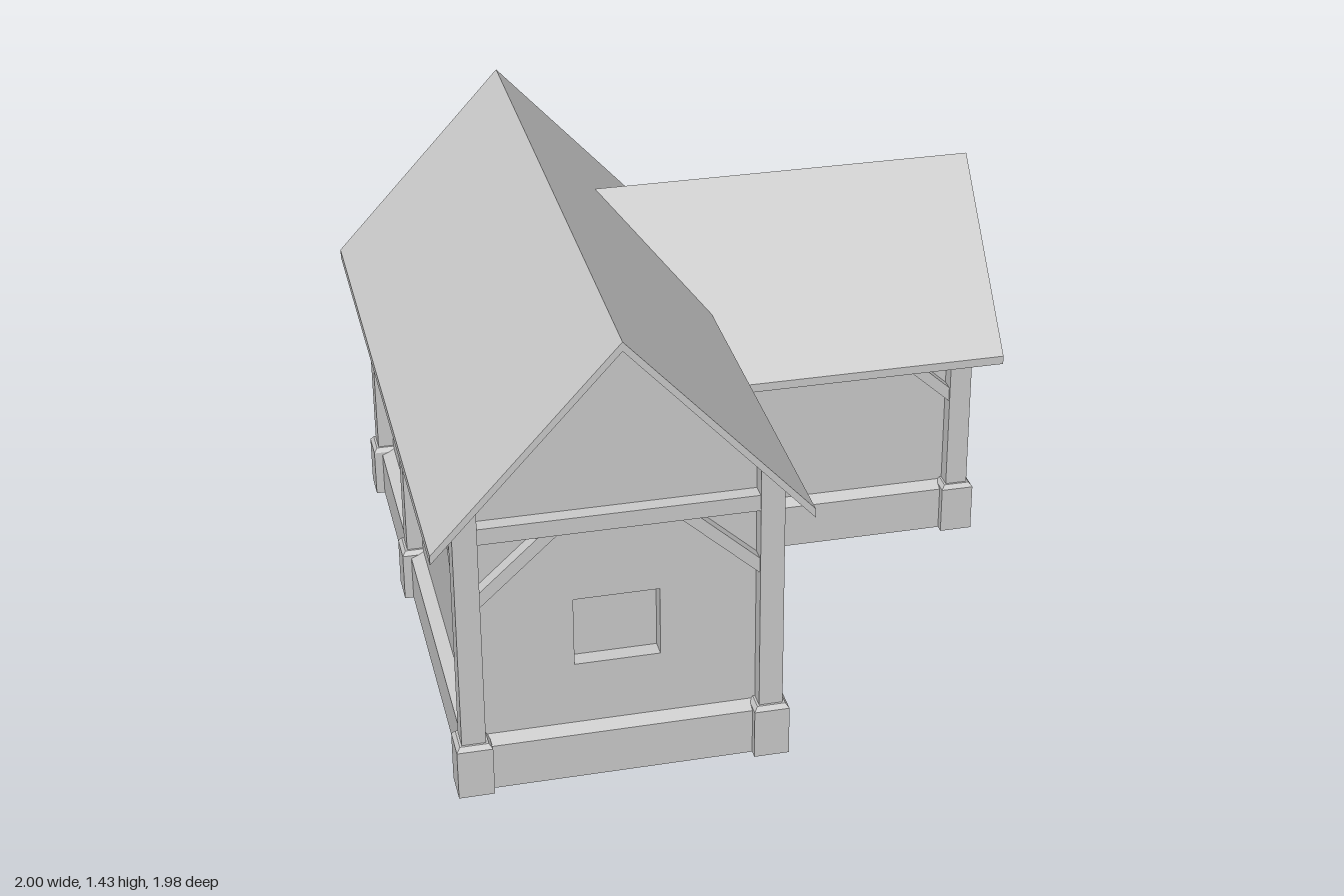
import * as THREE from 'three';

const MAT = new THREE.MeshStandardMaterial({ color: 0xcccccc, flatShading: true, side: THREE.DoubleSide });
const POST = 0.07, HALF = POST / 2;

// Post centre lines
const XL = -0.895, XR = -0.025, XE = 0.89;
const ZF = 0.885, ZM = -0.205, ZB = -0.885;

// Roof undersides
const MAIN = { mid: -0.46, apex: 1.405, slope: 1.085 };
const WING = { mid: -0.54, apex: 1.155, slope: 1.13 };
const under = (roof, v) => roof.apex - roof.slope * Math.abs(v - roof.mid);
const ROOF_T = 0.028;

function add(parent, name, geometry, x = 0, y = 0, z = 0) {
  const m = new THREE.Mesh(geometry, MAT);
  m.name = name;
  m.position.set(x, y, z);
  parent.add(m);
  return m;
}

function box(parent, name, w, y0, y1, d, x = 0, z = 0) {
  return add(parent, name, new THREE.BoxGeometry(w, y1 - y0, d), x, (y0 + y1) / 2, z);
}

const polygon = (pts) => new THREE.Shape(pts.map(([x, y]) => new THREE.Vector2(x, y)));
const rect = (x0, y0, x1, y1) => [[x0, y0], [x1, y0], [x1, y1], [x0, y1]];
const extrude = (shape, depth) => new THREE.ExtrudeGeometry(shape, { depth, bevelEnabled: false });

// Move each vertex by a rule, then rebuild the normals
function reshape(geometry, rule) {
  const p = geometry.attributes.position;
  const v = new THREE.Vector3();
  for (let i = 0; i < p.count; i++) {
    rule(v.fromBufferAttribute(p, i));
    p.setXYZ(i, v.x, v.y, v.z);
  }
  geometry.computeVertexNormals();
  return geometry;
}

// Post cut to the roof slope, on a stone foot with a chamfered top
function post(parent, name, x, z, topAt) {
  const g = new THREE.Group();
  g.name = name;
  parent.add(g);
  const shaft = new THREE.BoxGeometry(POST, 1, POST);
  shaft.translate(x, 0, z);
  reshape(shaft, (v) => { v.y = v.y > 0 ? topAt(v.x, v.z) : 0.1; });
  add(g, 'postShaft', shaft);
  box(g, 'postFoot', 0.104, 0, 0.155, 0.104, x, z);
  const cap = new THREE.BoxGeometry(0.104, 0.014, 0.104);
  reshape(cap, (v) => { if (v.y > 0) { v.x *= 0.8; v.z *= 0.8; } });
  add(g, 'postFootChamfer', cap, x, 0.162, z);
}

// One wall bay between two posts; local x runs along it, +z faces outwards
function bay(parent, name, o) {
  const g = new THREE.Group();
  g.name = name;
  g.position.set(o.x, 0, o.z);
  g.rotation.y = o.turn;
  parent.add(g);
  const h = o.length / 2, clear = h - HALF, beam = o.beam;

  // Panel, with a peak in the gable ends
  const y0 = o.panelBase ?? 0.02;
  const pts = o.roof
    ? [[-h, y0], [h, y0], [h, o.roof.apex - o.roof.slope * h], [0, o.roof.apex], [-h, o.roof.apex - o.roof.slope * h]]
    : rect(-h, y0, h, beam + 0.03);
  const panel = polygon(pts);
  if (o.window) {
    const [u, w] = o.window;
    const opening = rect(u - w / 2, 0.36, u + w / 2, 0.577);
    panel.holes.push(polygon(opening));
    const frame = polygon(rect(u - w / 2 - 0.008, 0.352, u + w / 2 + 0.008, 0.585));
    frame.holes.push(polygon(opening));
    add(g, 'windowReveal', extrude(frame, 0.045), 0, 0, -0.07);
    box(g, 'windowPane', w + 0.016, 0.352, 0.585, 0.008, u, -0.07);
  }
  add(g, 'wallPanel', extrude(panel, 0.02), 0, 0, -0.035);

  // Tie beam
  box(g, 'beam', clear * 2, beam, beam + 0.05, 0.065, 0, -0.0025);
  if (o.open) return;

  // Plinth with a sloping top
  const profile = polygon([[-0.035, 0], [0.025, 0], [0.025, 0.145], [-0.015, 0.162], [-0.035, 0.162]]);
  const plinth = extrude(profile, clear * 2);
  plinth.rotateY(-Math.PI / 2);
  add(g, 'plinth', plinth, clear, 0, 0);

  // Diagonal braces
  for (const s of [-1, 1]) {
    const c = s * clear;
    const brace = polygon([
      [c, beam - 0.205], [c - s * 0.225, beam], [c - s * 0.172, beam], [c, beam - 0.157],
    ]);
    add(g, 'brace', extrude(brace, 0.043), 0, 0, -0.017);
  }
}

// Roof slab drawn in plan as [x, z], then sheared up to its slope
function slab(parent, name, plan, heightAt) {
  const geo = extrude(polygon(plan.map(([x, z]) => [x, -z])), ROOF_T);
  geo.rotateX(-Math.PI / 2);
  add(parent, name, reshape(geo, (v) => { v.y += heightAt(v.x, v.z); }));
}

export function createModel() {
  const model = new THREE.Group();
  model.name = 'timberFramedHouse';

  // Posts
  const mainTop = (x) => under(MAIN, x);
  const wingTop = (x, z) => under(WING, z);
  for (const z of [ZF, ZM, ZB]) {
    post(model, 'mainPostRight', XL, z, mainTop);
    post(model, 'mainPostLeft', XR, z, mainTop);
  }
  for (const z of [ZM, ZB]) post(model, 'wingPost', XE, z, wingTop);

  // Main house bays
  const mx = (XL + XR) / 2, mw = XR - XL, q = Math.PI / 2;
  const zFront = (ZF + ZM) / 2, zBack = (ZM + ZB) / 2;
  const lFront = ZF - ZM, lBack = ZM - ZB;
  bay(model, 'frontGable', { x: mx, z: ZF, turn: 0, length: mw, beam: 0.82, roof: MAIN, window: [-0.005, 0.25] });
  bay(model, 'backGable', { x: mx, z: ZB, turn: Math.PI, length: mw, beam: 0.82, roof: MAIN });
  bay(model, 'sideWallWithWindow', { x: XR, z: zFront, turn: q, length: lFront, beam: 0.82, window: [0.042, 0.375] });
  bay(model, 'longSideFront', { x: XL, z: zFront, turn: -q, length: lFront, beam: 0.82 });
  bay(model, 'longSideBack', { x: XL, z: zBack, turn: -q, length: lBack, beam: 0.82 });

  // Plain partition between house and wing
  box(model, 'partition', 0.04, 0, 0.88, lBack, XR, zBack);

  // Wing bays; the outer end is open below its beam
  const wx = (XR + XE) / 2, wl = XE - XR;
  bay(model, 'wingFront', { x: wx, z: ZM, turn: 0, length: wl, beam: 0.68 });
  bay(model, 'wingBack', { x: wx, z: ZB, turn: Math.PI, length: wl, beam: 0.68 });
  bay(model, 'wingOpenGable', { x: XE, z: zBack, turn: q, length: lBack, beam: 0.68, roof: WING, panelBase: 0.69, open: true });
  box(model, 'wingCeiling', wl, 0.685, 0.7, lBack, wx, zBack);

  // Main roof
  for (const edge of [-1, 0.08]) {
    slab(model, 'mainRoofSlope', rect(edge, -0.99, MAIN.mid, 0.985), (x) => under(MAIN, x));
  }

  // Wing roof, its inner edge following the valley under the main roof
  for (const [valley, eave] of [[-0.25, -0.085], [-0.84, -0.99]]) {
    const plan = [[-0.24, WING.mid], [1, WING.mid], [1, eave], [0.05, eave], [0.04, valley]];
    slab(model, 'wingRoofSlope', plan, (x, z) => under(WING, z));
  }

  return model;
}
